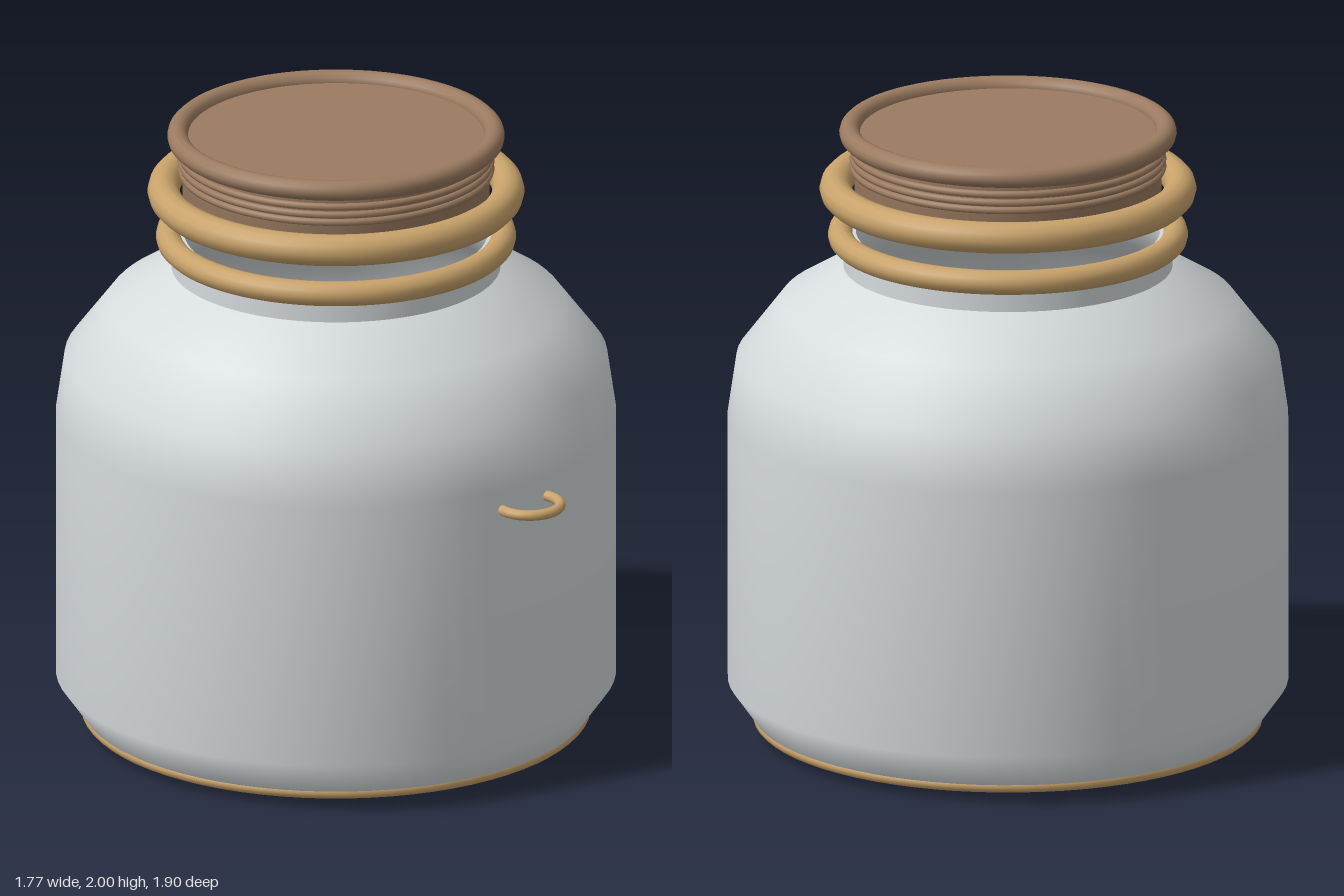
import * as THREE from 'three';

const mat = (name, color, side = THREE.FrontSide) => {
  const m = new THREE.MeshStandardMaterial({ color, side });
  m.name = name;
  return m;
};

export function createModel() {
  const glaze = mat('pale grey', 0xd5dadc, THREE.DoubleSide);
  const tan = mat('tan', 0xc8a26a);
  const brown = mat('brown', 0x9b7b60);

  const model = new THREE.Group();
  model.name = 'jar';
  const jar = new THREE.Group();
  jar.name = 'jarAndLid';
  jar.position.z = -0.067; // the loop in front shifts the jar back
  model.add(jar);

  const add = (name, geometry, material) => {
    const mesh = new THREE.Mesh(geometry, material);
    mesh.name = name;
    jar.add(mesh);
    return mesh;
  };
  // Turned part from [radius, height] points; each part ends at a hard edge
  const lathe = (name, pts, material) =>
    add(name, new THREE.LatheGeometry(pts.map(([r, y]) => new THREE.Vector2(r, y)), 72), material);
  // Horizontal ring
  const ring = (name, radius, tube, y, material, sides = 12) => {
    const g = new THREE.TorusGeometry(radius, tube, sides, 72).rotateX(-Math.PI / 2);
    const mesh = add(name, g, material);
    mesh.position.y = y;
    return mesh;
  };

  // Hollow body
  lathe('base', [[0, 0], [0.66, 0]], glaze);
  lathe('baseBevel', [[0.66, 0], [0.8, 0.05]], glaze);
  lathe('body', [[0.8, 0.05], [0.885, 0.17], [0.885, 1.04], [0.857, 1.23], [0.72, 1.41], [0.52, 1.53]], glaze);
  lathe('neck', [[0.52, 1.53], [0.52, 1.64]], glaze);
  lathe('rim', [[0.52, 1.64], [0.48, 1.64]], glaze);
  lathe('innerWall', [[0.48, 1.64], [0.48, 1.51], [0.69, 1.38], [0.82, 1.21], [0.845, 1.03],
    [0.845, 0.19], [0.77, 0.08], [0, 0.06]], glaze);

  // Trim rings
  ring('baseRing', 0.785, 0.021, 0.047, tan);
  ring('neckRing', 0.529, 0.04, 1.63, tan);
  ring('lidCollar', 0.544, 0.051, 1.782, tan);

  // Lid floating above the neck
  lathe('lidBottom', [[0, 1.725], [0.445, 1.725]], brown);
  lathe('lidWall', [[0.445, 1.725], [0.485, 1.76], [0.485, 1.965]], brown);
  lathe('lidTop', [[0.485, 1.968], [0, 1.968]], brown);
  ring('lidRim', 0.5, 0.033, 1.967, brown);
  [1.855, 1.88, 1.907].forEach((y, i) => ring(`lidThread${i + 1}`, 0.488, 0.012, y, brown, 8));

  // Small loop on the front
  const loop = ring('frontLoop', 0.098, 0.017, 0.97, tan);
  loop.position.z = 0.835 + 0.067;

  return model;
}
